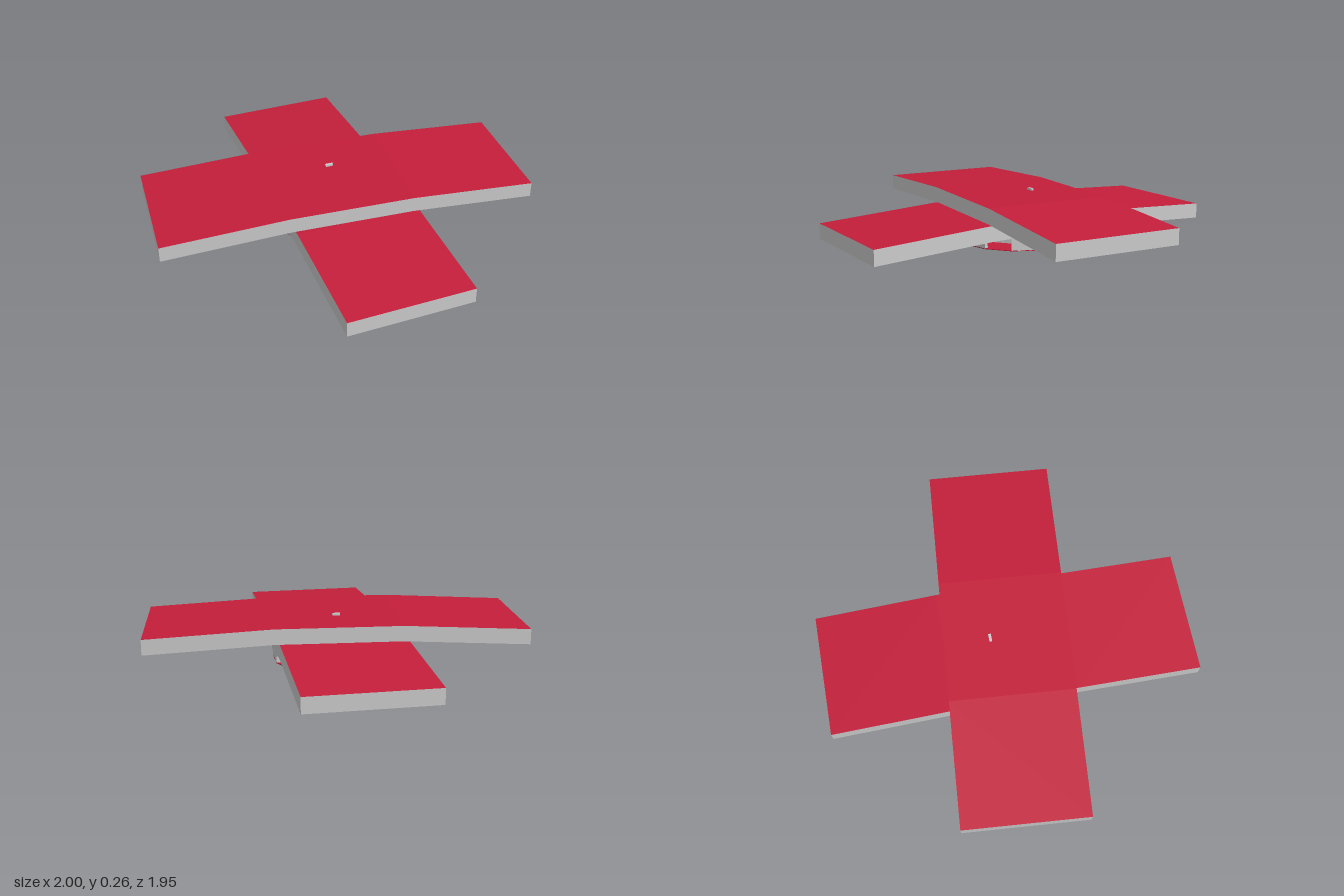
import * as THREE from 'three';

const grey = new THREE.MeshStandardMaterial({ color: 0xcccccc, flatShading: true, side: THREE.DoubleSide });
const red = new THREE.MeshStandardMaterial({ color: 0xc41e3a, flatShading: true, side: THREE.DoubleSide });

function add(parent, name, geometry, material, x = 0, y = 0, z = 0) {
  const mesh = new THREE.Mesh(geometry, material);
  mesh.name = name;
  mesh.position.set(x, y, z);
  parent.add(mesh);
  return mesh;
}

// Slab in three equal spans; the two outer spans slope down to the tips
function bentSlab(length, width, thickness, drop) {
  const geo = new THREE.BoxGeometry(length, thickness, width, 3, 1, 1);
  const pos = geo.attributes.position;
  for (let i = 0; i < pos.count; i++) {
    if (Math.abs(pos.getX(i)) > length * 0.4) pos.setY(i, pos.getY(i) - drop);
  }
  geo.computeVertexNormals();
  return geo;
}

export function createModel() {
  const model = new THREE.Group();
  model.name = 'crossedSlabs';

  // Crossed slabs: red faces, grey edges
  const faces = [grey, grey, red, red, grey, grey];
  const upper = add(model, 'upperSlab', bentSlab(1.947, 0.652, 0.08, 0.035), faces, 0, 0.205, 0);
  upper.rotation.y = -0.085;
  const lower = add(model, 'lowerSlab', bentSlab(1.95, 0.65, 0.08, 0.035), faces, 0, 0.125, 0);
  lower.rotation.y = Math.PI / 2;

  // Small pin on top
  add(model, 'topPin', new THREE.BoxGeometry(0.04, 0.03, 0.014), grey, 0, 0.241, -0.085);

  // Polygonal hub: closed floor, upper band and spaced lower wall panels
  const hub = new THREE.Group();
  hub.name = 'hub';
  hub.position.z = -0.008;
  model.add(hub);
  const sides = 14, radius = 0.322, step = (Math.PI * 2) / sides;
  add(hub, 'hubFloor', new THREE.CylinderGeometry(radius, radius, 0.004, sides), red, 0, 0.002, 0);
  add(hub, 'hubBand', new THREE.CylinderGeometry(0.328, 0.328, 0.08, sides, 1, true), grey, 0, 0.082, 0);
  const inner = radius * Math.cos(step / 2) - 0.01;
  const panelWidth = 2 * radius * Math.sin(step / 2);
  for (let i = 0; i < sides; i++) {
    if (i % 3 === 1) continue;
    const a = (i + 0.5) * step;
    const panel = add(hub, 'hubWallPanel', new THREE.BoxGeometry(panelWidth, 0.042, 0.02), grey,
      Math.sin(a) * inner, 0.023, Math.cos(a) * inner);
    panel.rotation.y = a;
  }
  return model;
}
